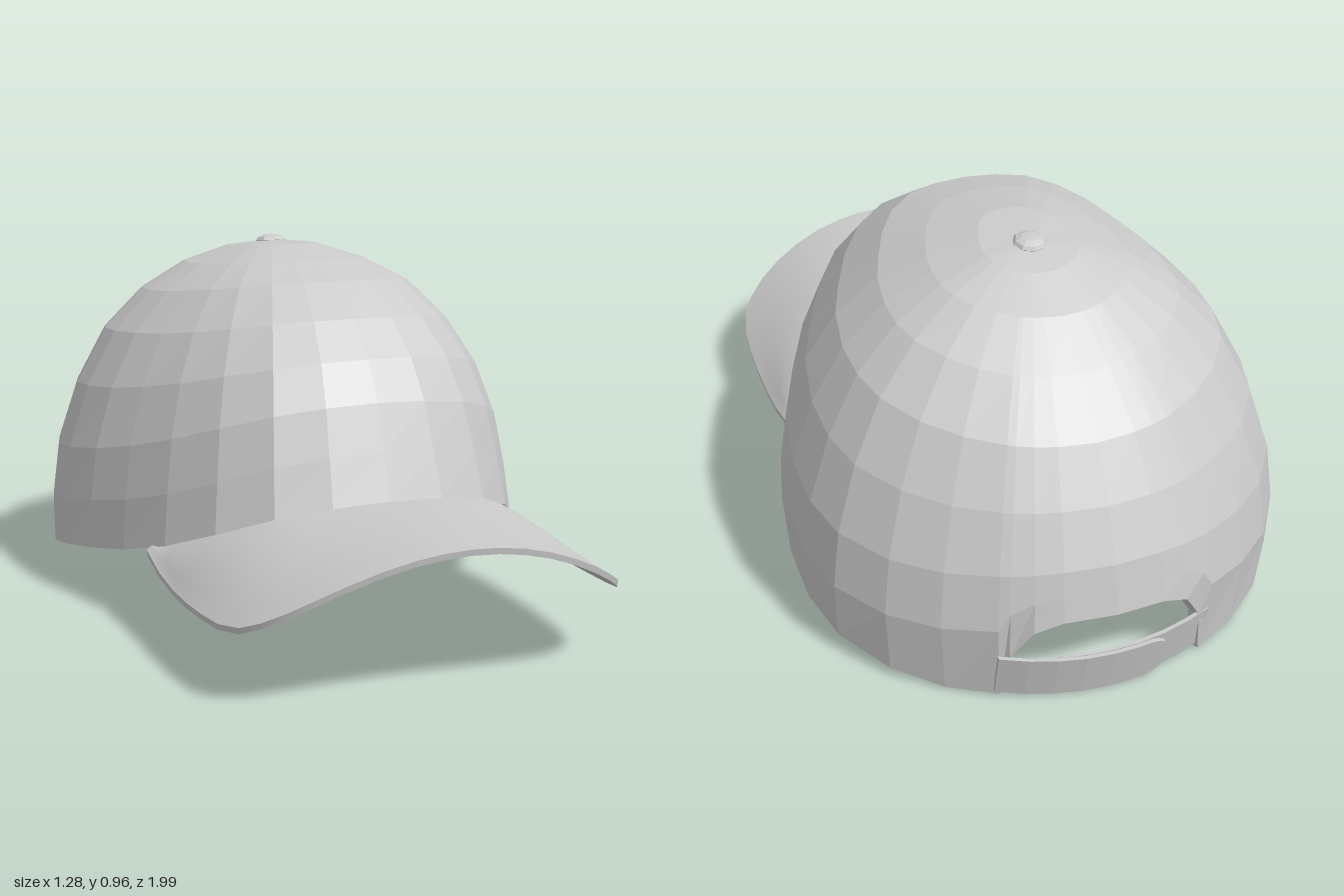
import * as THREE from 'three';
import { toCreasedNormals } from 'three/addons/utils/BufferGeometryUtils.js';

const V = (x, y, z) => new THREE.Vector3(x, y, z);
const lerp = THREE.MathUtils.lerp;
const TOP_Y = 0.955, TOP_Z = -0.37;

// Height of the crown's lower rim at depth z
const rimY = (z) => Math.max(0.01, 0.12 + 0.2 * (z + 0.32) + (z > 0 ? 0.38 * z * z : 0));

// Closed sheet of cloth between an outer and an inner grid of points [column][row]
function sheet(outer, inner, wrap = false) {
  const pos = [];
  const quad = (a, b, c, d) => {
    for (const p of [a, b, c, a, c, d]) pos.push(p.x, p.y, p.z);
  };
  const n = outer.length, m = outer[0].length - 1;
  for (let i = 0; i < (wrap ? n : n - 1); i++) {
    const k = (i + 1) % n;
    for (let j = 0; j < m; j++) {
      quad(outer[i][j], outer[k][j], outer[k][j + 1], outer[i][j + 1]);
      quad(inner[k][j], inner[i][j], inner[i][j + 1], inner[k][j + 1]);
    }
    quad(inner[i][0], inner[k][0], outer[k][0], outer[i][0]);
    if (!wrap) quad(outer[i][m], outer[k][m], inner[k][m], inner[i][m]);
  }
  if (!wrap) {
    for (let j = 0; j < m; j++) {
      quad(inner[0][j], outer[0][j], outer[0][j + 1], inner[0][j + 1]);
      quad(outer[n - 1][j], inner[n - 1][j], inner[n - 1][j + 1], outer[n - 1][j + 1]);
    }
  }
  const geo = new THREE.BufferGeometry();
  geo.setAttribute('position', new THREE.Float32BufferAttribute(pos, 3));
  geo.computeVertexNormals();
  return geo;
}

// Half plan outline of the crown: x, z, row at which the cloth starts (raised over the back opening)
const OUTLINE = [
  [0, 0.52, 0], [0.15, 0.505, 0], [0.29, 0.46, 0], [0.41, 0.35, 0], [0.5, 0.2, 0], [0.565, 0.03, 0],
  [0.615, -0.13, 0], [0.64, -0.32, 0], [0.635, -0.48, 0], [0.6, -0.62, 0], [0.51, -0.76, 0],
  [0.4, -0.86, 0], [0.28, -0.935, 0], [0.255, -0.947, 0.6], [0.2, -0.967, 0.95],
  [0.13, -0.985, 1.07], [0, -1, 1.07],
];
// Meridian profiles, rim to top: fraction of radius, fraction of height
const FRONT = [[1, 0], [0.95, 0.21], [0.9, 0.42], [0.83, 0.6], [0.72, 0.76], [0.57, 0.9], [0.4, 0.965], [0.2, 1.01], [0, 1]];
const SIDE = [[1, 0], [1, 0.16], [0.97, 0.335], [0.88, 0.54], [0.75, 0.72], [0.58, 0.85], [0.39, 0.935], [0.19, 0.985], [0, 1]];
const BACK = [[0.94, 0], [1, 0.25], [0.96, 0.4], [0.87, 0.54], [0.75, 0.68], [0.57, 0.81], [0.38, 0.91], [0.19, 0.97], [0, 1]];

function sample(profile, k, c) {
  const i = Math.min(7, Math.floor(k));
  return lerp(profile[i][c], profile[i + 1][c], k - i);
}

function crownGeometry() {
  const mirrored = OUTLINE.slice(1, -1).reverse().map(([x, z, k]) => [-x, z, k]);
  const outer = [], inner = [];
  for (const [x, z, start] of [...OUTLINE, ...mirrored]) {
    const dz = z - TOP_Z, R = Math.hypot(x, dz), c = dz / R;
    const ends = c > 0 ? FRONT : BACK;
    const o = [], n = [];
    for (let j = 0; j <= 8; j++) {
      const k = j < 2 ? start + ((2 - start) * j) / 2 : j;
      const f = lerp(sample(SIDE, k, 0), sample(ends, k, 0), c * c);
      const g = lerp(sample(SIDE, k, 1), sample(ends, k, 1), c * c);
      const y = lerp(rimY(z), TOP_Y, g);
      const r = R * f, ri = Math.max(0, r - (j < 2 ? 0.035 : 0.022));
      o.push(V((x / R) * r, y, TOP_Z + c * r));
      n.push(V((x / R) * ri, y - 0.025 * g, TOP_Z + c * ri));
    }
    outer.push(o);
    inner.push(n);
  }
  return sheet(outer, inner, true);
}

// Curve through a half path mirrored in x, running from -x to +x
function mirroredCurve(half) {
  const left = half.slice(1).reverse().map(([x, z]) => V(-x, 0, z));
  return new THREE.CatmullRomCurve3([...left, ...half.map(([x, z]) => V(x, 0, z))]);
}

function brimGeometry() {
  const edge = mirroredCurve([[0, 0.995], [0.14, 0.988], [0.29, 0.96], [0.42, 0.9], [0.5, 0.8], [0.53, 0.6], [0.535, 0.38], [0.535, 0.15]]);
  const seam = mirroredCurve([[0, 0.51], [0.15, 0.495], [0.285, 0.45], [0.4, 0.345], [0.49, 0.2], [0.51, 0.15]]);
  const cols = 28, rows = 5, top = [], under = [];
  for (let i = 0; i <= cols; i++) {
    const a = edge.getPoint(i / cols), b = seam.getPoint(i / cols);
    const t = [], u = [];
    for (let j = 0; j <= rows; j++) {
      const p = a.clone().lerp(b, j / rows);
      const lift = 0.04 * Math.max(0, (0.4 - p.z) / 0.25) ** 2;
      const arch = 0.397 - 0.76 * p.x * p.x + lift;
      p.y = lerp(arch, rimY(b.z) + 0.005, (j / rows) ** 2);
      t.push(p);
      u.push(V(p.x * 0.997, p.y - 0.016, p.z - 0.003));
    }
    top.push(t);
    under.push(u);
  }
  return toCreasedNormals(sheet(top, under), 0.6);
}

// Strap with one rounded end: side +1 starts at +x, side -1 starts at -x
function strapGeometry(side, inset) {
  const cols = [[0.28, 1], [0.21, 1], [0.14, 1], [0.07, 1], [0, 1], [-0.06, 1], [-0.1, 1], [-0.125, 0.9], [-0.142, 0.7], [-0.15, 0.4]];
  if (side < 0) cols.reverse();
  const outer = [], inner = [];
  for (const [cx, h] of cols) {
    const x = cx * side, o = [], n = [];
    for (const v of [-1, 0, 1]) {
      const s = v * h;
      const y = 0.07 + 0.064 * s + 0.2 * x * x;
      const z = -0.98 - 0.016 * s + 0.7 * x * x + inset;
      o.push(V(x, y, z));
      n.push(V(x, y, z + 0.012));
    }
    outer.push(o);
    inner.push(n);
  }
  return sheet(outer, inner);
}

export function createModel() {
  const cap = new THREE.Group();
  cap.name = 'cap';
  const flat = new THREE.MeshStandardMaterial({ color: 0xcccccc, flatShading: true });
  const smooth = new THREE.MeshStandardMaterial({ color: 0xcccccc });
  const add = (name, geo, mat = flat) => {
    const mesh = new THREE.Mesh(geo, mat);
    mesh.name = name;
    cap.add(mesh);
    return mesh;
  };

  add('crown', crownGeometry());
  add('brim', brimGeometry(), smooth);
  add('outerStrap', strapGeometry(1, 0));
  add('innerStrap', strapGeometry(-1, 0.014));

  // Button on top
  const button = add('button', new THREE.SphereGeometry(0.045, 8, 6));
  button.scale.y = 0.4;
  button.position.set(0, TOP_Y - 0.003, TOP_Z);
  button.rotation.x = -0.12;
  return cap;
}
